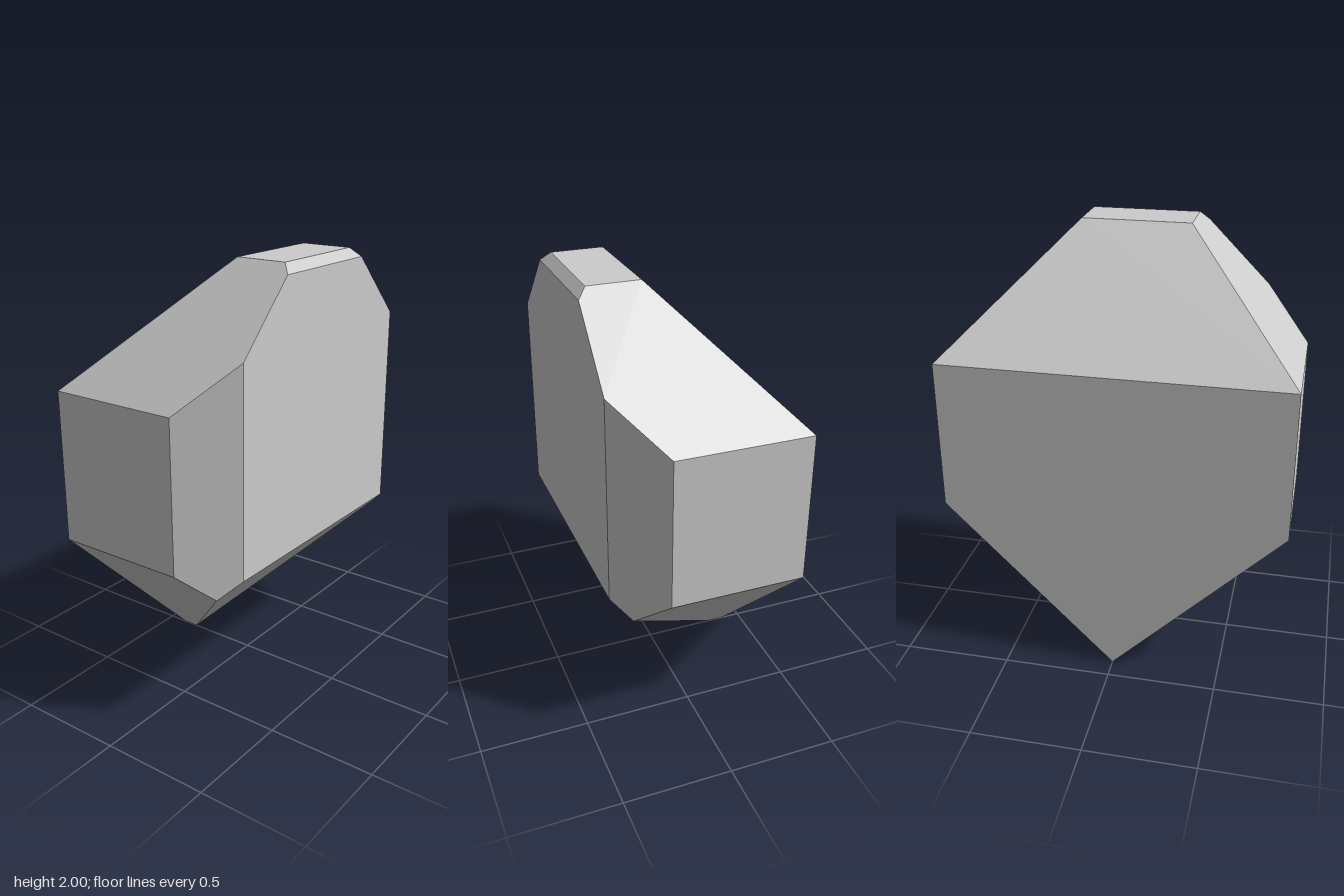
import * as THREE from 'three';
import { ConvexGeometry } from 'three/addons/geometries/ConvexGeometry.js';

export function createModel() {
  const group = new THREE.Group();
  group.name = 'facetedStone';

  const side = 0.783, front = 0.405, back = -0.405;

  // Corners of the left half, mirrored to the right
  const half = [
    [0.248, 2, 0.13], [0.248, 2, 0.365],              // flat top
    [0.288, 1.96, front],                             // top front bevel
    [0.58, 1.668, front], [0.58, 0.74, front],        // front face
    [side, 1.465, 0.202], [side, 1.465, back],        // side face, upper
    [side, side, 0.202], [side, side, back],          // side face, lower
    [0.66, 0.66, 0.325],                              // foot of the corner bevel
  ];
  const points = half.flatMap(([x, y, z]) => [
    new THREE.Vector3(x, y, z),
    new THREE.Vector3(-x, y, z),
  ]);

  // Short bottom edge where the lower facets meet the back
  points.push(new THREE.Vector3(0, 0, -0.335), new THREE.Vector3(0, 0, back));

  const stone = new THREE.Mesh(
    new ConvexGeometry(points),
    new THREE.MeshStandardMaterial({ color: 0xcccccc, flatShading: true })
  );
  stone.name = 'stoneBody';
  group.add(stone);
  return group;
}
